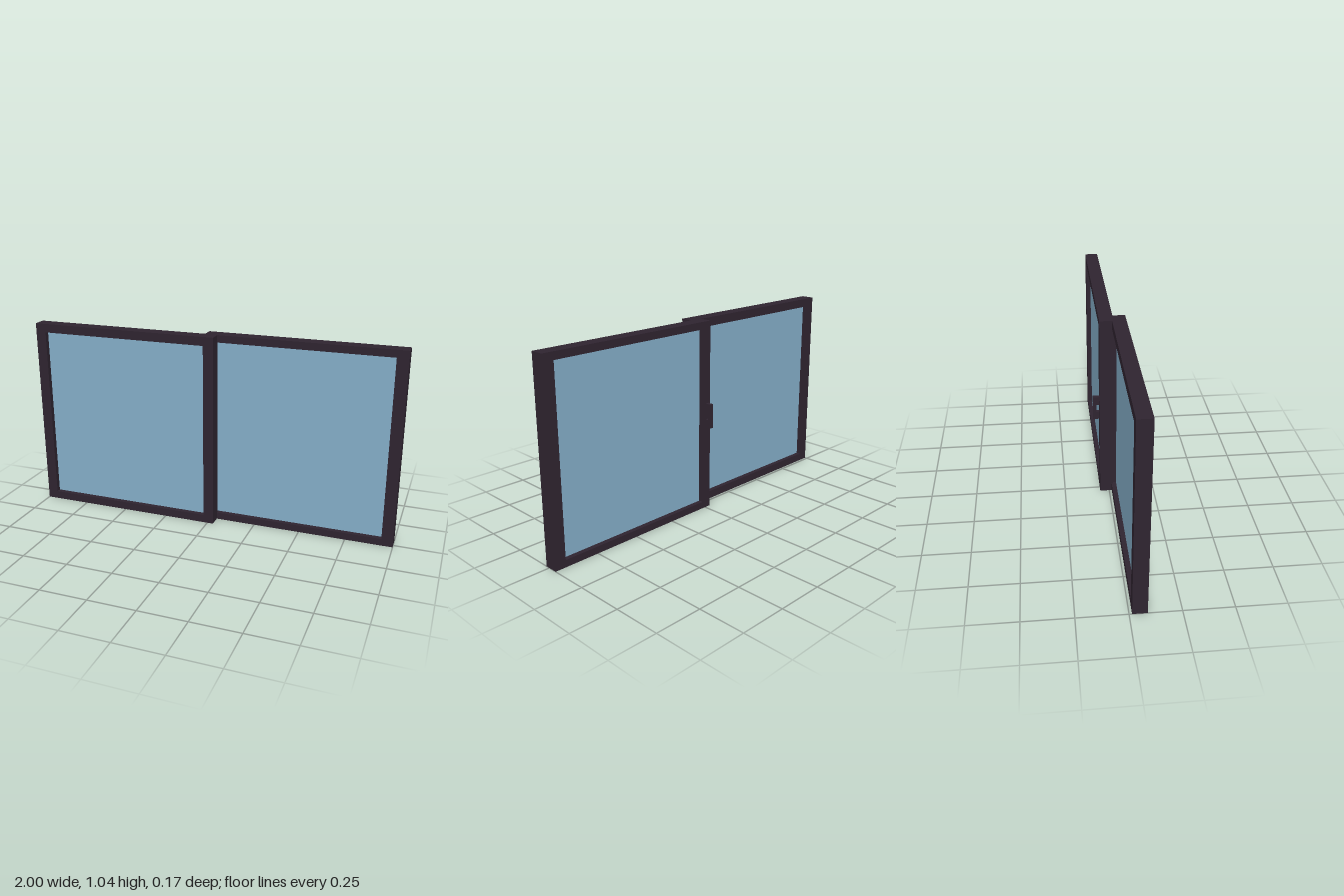
import * as THREE from 'three';

const HEIGHT = 1.045;
const DEPTH = 0.073;

const frameMaterial = new THREE.MeshStandardMaterial({ color: 0x2f2430 });
frameMaterial.name = 'dark frame';
const glassMaterial = new THREE.MeshStandardMaterial({ color: 0x84aec8 });
glassMaterial.name = 'blue glass';

function rectangle(Type, x0, y0, x1, y1) {
  return new Type([[x0, y0], [x1, y0], [x1, y1], [x0, y1]].map(([x, y]) => new THREE.Vector2(x, y)));
}

// One sash: a frame with an opening, and a pane set midway in its depth
function createSash(name, x0, x1, opening, backZ) {
  const sash = new THREE.Group();
  sash.name = name;
  const [ox0, oy0, ox1, oy1] = opening;

  const outline = rectangle(THREE.Shape, x0, 0, x1, HEIGHT);
  outline.holes.push(rectangle(THREE.Path, ox0, oy0, ox1, oy1));
  const frame = new THREE.Mesh(
    new THREE.ExtrudeGeometry(outline, { depth: DEPTH, bevelEnabled: false }), frameMaterial);
  frame.name = name + 'Frame';
  frame.position.z = backZ;

  const pane = new THREE.Mesh(
    new THREE.BoxGeometry(ox1 - ox0, oy1 - oy0, 0.022), glassMaterial);
  pane.name = name + 'Glass';
  pane.position.set((ox0 + ox1) / 2, (oy0 + oy1) / 2, backZ + DEPTH / 2);

  sash.add(frame, pane);
  return sash;
}

// Pull handle: a C-shaped side profile extruded across x
function createHandle() {
  const profile = [
    [0.05, 0.47], [0.086, 0.47], [0.086, 0.603], [0.05, 0.603],
    [0.05, 0.556], [0.068, 0.556], [0.068, 0.514], [0.05, 0.514],
  ];
  const shape = new THREE.Shape(profile.map(([z, y]) => new THREE.Vector2(z, y)));
  const geometry = new THREE.ExtrudeGeometry(shape, { depth: 0.02, bevelEnabled: false });
  geometry.rotateY(Math.PI / 2); // profile now points to the back
  const handle = new THREE.Mesh(geometry, frameMaterial);
  handle.name = 'pullHandle';
  handle.position.x = -0.023;
  return handle;
}

export function createModel() {
  const model = new THREE.Group();
  model.name = 'slidingWindow';
  model.add(
    createSash('frontSash', -1, 0.033, [-0.943, 0.044, -0.022, 0.998], 0.014),
    createSash('rearSash', -0.036, 1, [0.02, 0.038, 0.94, 1.006], -0.051),
    createHandle(),
  );
  return model;
}
